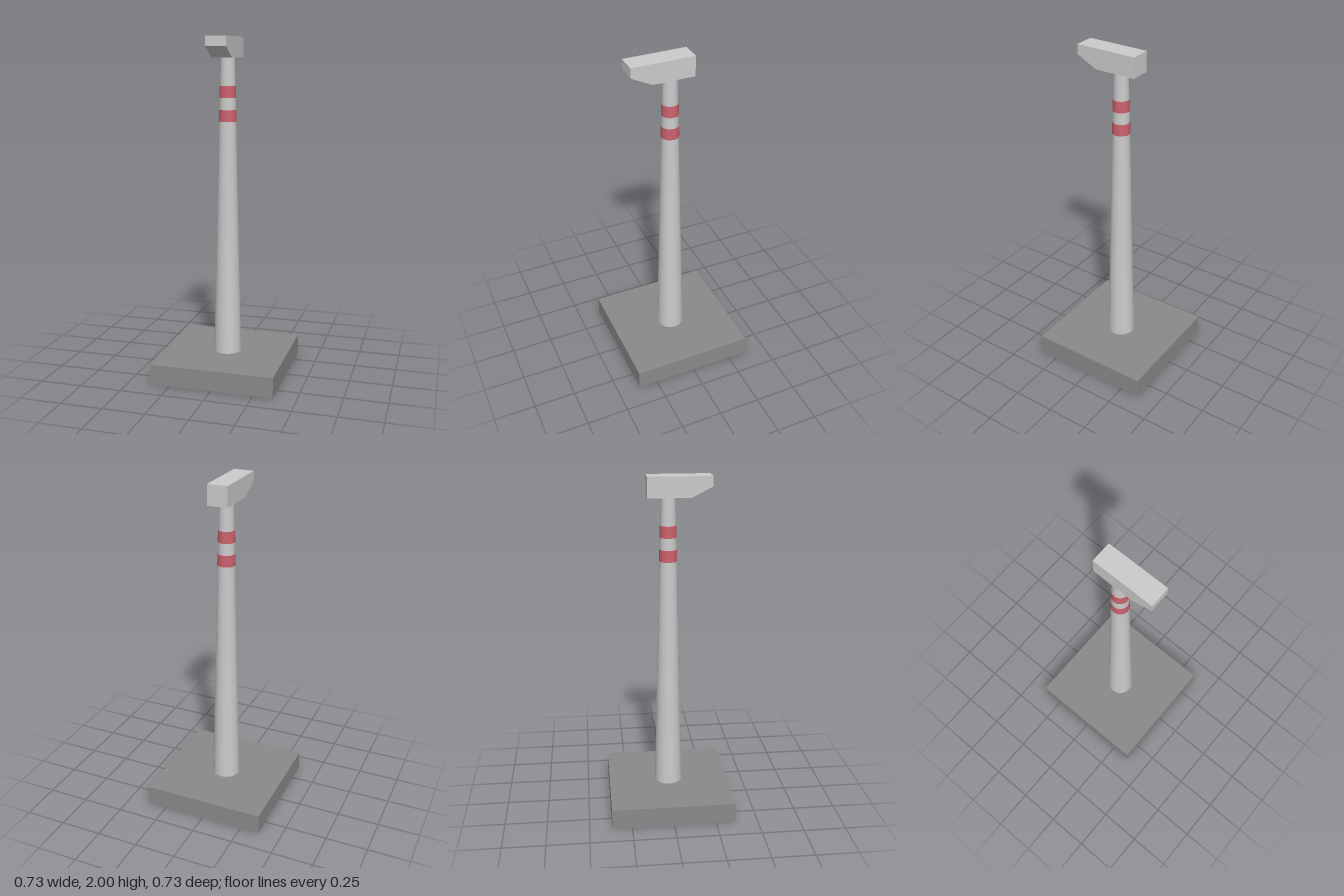
import * as THREE from 'three';

const SIDES = 16;

export function createModel() {
  const model = new THREE.Group();
  const grey = new THREE.MeshStandardMaterial({ color: 0xcccccc });
  const darkGrey = new THREE.MeshStandardMaterial({ color: 0x8a8a8a });
  const red = new THREE.MeshStandardMaterial({ color: 0xcc626e });

  const add = (name, geometry, material, y = 0) => {
    const mesh = new THREE.Mesh(geometry, material);
    mesh.name = name;
    mesh.position.y = y;
    model.add(mesh);
  };

  // Square foundation slab
  add('base', new THREE.BoxGeometry(0.734, 0.122, 0.734), darkGrey, 0.061);

  // Tapered tower
  const bottom = 0.122, top = 1.884, rBottom = 0.083, rTop = 0.042;
  add('tower', new THREE.CylinderGeometry(rTop, rBottom, top - bottom, SIDES), grey, (top + bottom) / 2);

  // Two warning bands, standing slightly proud of the tower
  const radiusAt = (y) => rBottom + (rTop - rBottom) * (y - bottom) / (top - bottom);
  for (const [name, y] of [['lowerBand', 1.55], ['upperBand', 1.687]]) {
    const h = 0.068;
    add(name, new THREE.CylinderGeometry(radiusAt(y + h / 2) + 0.002, radiusAt(y - h / 2) + 0.002, h, SIDES), red, y);
  }

  // Head: side profile in (z, y) with a chamfered front underside
  const profile = new THREE.Shape([
    [-0.122, 1.882], [0.125, 1.882], [0.245, 1.943], [0.245, 2], [-0.122, 2],
  ].map(([z, y]) => new THREE.Vector2(z, y)));
  const width = 0.12;
  const head = new THREE.ExtrudeGeometry(profile, { depth: width, bevelEnabled: false });
  head.translate(0, 0, -width / 2).rotateY(-Math.PI / 2);
  add('head', head, grey);

  return model;
}
